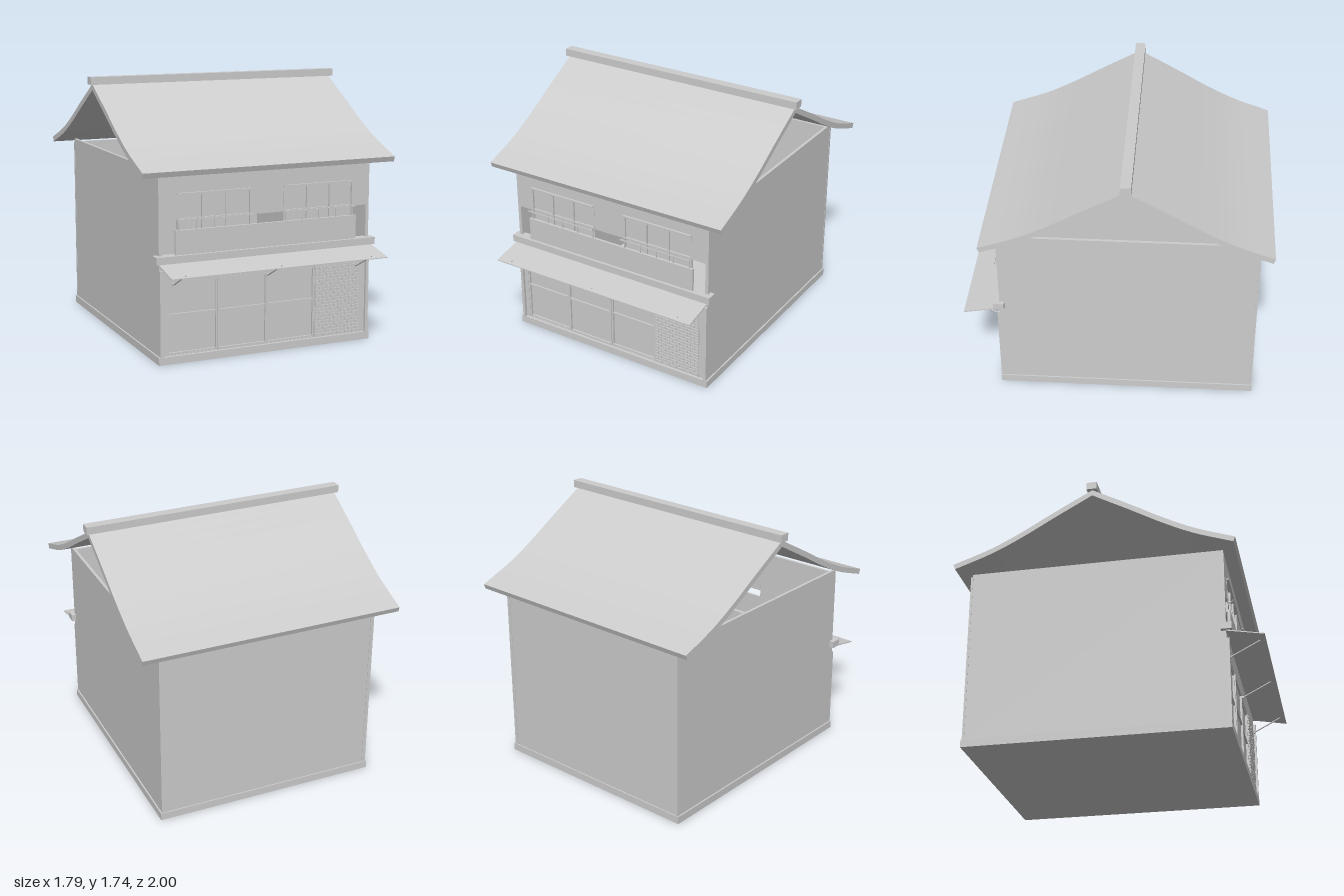
import * as THREE from 'three';
import { mergeGeometries, toCreasedNormals } from 'three/addons/utils/BufferGeometryUtils.js';

export function createModel() {
  const house = new THREE.Group();
  house.name = 'house';
  const plaster = new THREE.MeshStandardMaterial({ color: 0xcccccc });
  plaster.name = 'pale grey';

  const add = (name, geometry) => {
    const mesh = new THREE.Mesh(geometry, plaster);
    mesh.name = name;
    house.add(mesh);
    return mesh;
  };
  // box given by its limits on each axis
  const block = (x0, x1, y0, y1, z0, z1) =>
    new THREE.BoxGeometry(x1 - x0, y1 - y0, z1 - z0)
      .translate((x0 + x1) / 2, (y0 + y1) / 2, (z0 + z1) / 2);
  const box = (name, ...limits) => add(name, block(...limits));
  const rectangle = (Type, x0, x1, y0, y1) => new Type([
    new THREE.Vector2(x0, y0), new THREE.Vector2(x1, y0),
    new THREE.Vector2(x1, y1), new THREE.Vector2(x0, y1),
  ]);
  // extrude a (z, y) outline along x
  const acrossX = (shape, width) =>
    new THREE.ExtrudeGeometry(shape, { depth: width, bevelEnabled: false })
      .rotateY(-Math.PI / 2).translate(width / 2, 0, 0);

  // plinth and open-topped shell
  box('plinth', -0.75, 0.75, 0, 0.05, -0.92, 0.78);
  for (const s of [-1, 1]) {
    box('sideWall', s * 0.73 - 0.01, s * 0.73 + 0.01, 0.05, 1.22, -0.905, 0.76);
    box('rearPost', s * 0.73 - 0.012, s * 0.73 + 0.012, 0.05, 1.2, -0.915, -0.9);
  }
  box('backWall', -0.72, 0.72, 0.05, 1.2, -0.912, -0.892);

  // front wall with upper opening, window openings and shop front
  const front = rectangle(THREE.Shape, -0.74, 0.74, 0.05, 1.2);
  front.holes.push(
    rectangle(THREE.Path, -0.69, 0.68, 0.055, 0.525),
    rectangle(THREE.Path, -0.718, 0.718, 0.68, 0.91),
    rectangle(THREE.Path, -0.615, -0.12, 0.92, 1.065),
    rectangle(THREE.Path, 0.12, 0.615, 0.92, 1.065),
  );
  add('frontWall', new THREE.ExtrudeGeometry(front, { depth: 0.02, bevelEnabled: false })
    .translate(0, 0, 0.742));

  // curved roof: top line from ridge to eave, offset for the underside
  const ridgeZ = -0.07;
  const slope = new THREE.CatmullRomCurve3([
    [0, 1.69], [0.27, 1.54], [0.47, 1.425], [0.67, 1.325], [0.925, 1.232],
  ].map(([d, y]) => new THREE.Vector3(d, y, 0)));
  const top = slope.getPoints(16);
  const under = top.map((p, i) => {
    const t = slope.getTangent(i / 16);
    return new THREE.Vector3(i ? p.x + t.y * 0.036 : 0, i ? p.y - t.x * 0.036 : 1.65, 0);
  });
  const outline = [
    ...top.slice().reverse().map(p => new THREE.Vector2(ridgeZ + p.x, p.y)),
    ...top.slice(1).map(p => new THREE.Vector2(ridgeZ - p.x, p.y)),
    ...under.slice().reverse().map(p => new THREE.Vector2(ridgeZ - p.x, p.y)),
    ...under.slice(1).map(p => new THREE.Vector2(ridgeZ + p.x, p.y)),
  ];
  add('roof', toCreasedNormals(acrossX(new THREE.Shape(outline), 1.75), 0.4));
  box('ridgeBeam', -0.895, 0.895, 1.687, 1.737, -0.105, -0.037);

  // beam over the shop and balcony parapet
  box('eavesBeam', -0.77, 0.77, 0.648, 0.695, 0.73, 0.8);
  box('parapet', -0.635, 0.635, 0.66, 0.85, 0.762, 0.78);

  // upper windows, lintels and railings
  for (const s of [-1, 1]) {
    const c = s * 0.366;
    box('windowPane', c - 0.25, c + 0.25, 0.84, 1.065, 0.744, 0.75);
    for (let i = 0; i <= 3; i++) {
      const x = c - 0.247 + i * 0.165;
      box('windowMullion', x - 0.004, x + 0.004, 0.84, 1.065, 0.75, 0.764);
    }
    box('windowLintel', c - 0.25, c + 0.25, 1.07, 1.081, 0.76, 0.776);
    box('railing', c - 0.26, c + 0.26, 0.912, 0.92, 0.796, 0.802);
    for (let i = 0; i < 5; i++) {
      const x = c - 0.242 + i * 0.121;
      box('baluster', x - 0.003, x + 0.003, 0.83, 0.915, 0.77, 0.776);
    }
    for (const x of [c - 0.242, c + 0.242])
      box('railBracket', x - 0.003, x + 0.003, 0.912, 0.918, 0.76, 0.8);
    box('cornerPost', s * 0.73 - 0.01, s * 0.73 + 0.01, 0.05, 0.6, 0.76, 0.78);
  }

  // three sliding doors
  for (let i = 0; i < 3; i++) {
    const x0 = -0.69 + i * 0.345, x1 = x0 + 0.345;
    const z = i === 1 ? 0.752 : 0.746;
    box('doorPane', x0, x1, 0.055, 0.525, z - 0.006, z);
    for (const x of [x0, x1 - 0.012])
      box('doorStile', x, x + 0.012, 0.055, 0.525, z, z + 0.014);
    for (const y of [0.055, 0.305, 0.513])
      box('doorRail', x0, x1, y, y + 0.012, z, z + 0.012);
  }

  // brick panel beside the doors
  box('brickBacking', 0.345, 0.68, 0.052, 0.53, 0.745, 0.764);
  const bricks = [];
  const rows = 22, length = 0.055, left = 0.35, right = 0.676;
  for (let r = 0; r < rows; r++) {
    const y = 0.058 + r * 0.0212;
    for (let x = left - (r % 2) * length / 2; x < right; x += length) {
      const a = Math.max(x, left), b = Math.min(x + length - 0.005, right);
      if (b - a > 0.006) bricks.push(block(a, b, y, y + 0.0165, 0.762, 0.77));
    }
  }
  add('brickPanel', mergeGeometries(bricks));

  // sloping awning with three struts
  const awning = new THREE.Shape([
    [0.76, 0.643], [1.0, 0.598], [1.0, 0.604], [0.76, 0.651],
  ].map(([z, y]) => new THREE.Vector2(z, y)));
  add('awning', acrossX(awning, 1.5));
  for (const x of [-0.648, 0, 0.645]) {
    const path = new THREE.LineCurve3(
      new THREE.Vector3(x, 0.508, 0.775), new THREE.Vector3(x, 0.615, 0.982));
    add('awningStrut', new THREE.TubeGeometry(path, 1, 0.005, 8));
    box('strutFoot', x - 0.006, x + 0.006, 0.5, 0.516, 0.76, 0.78);
  }
  return house;
}
